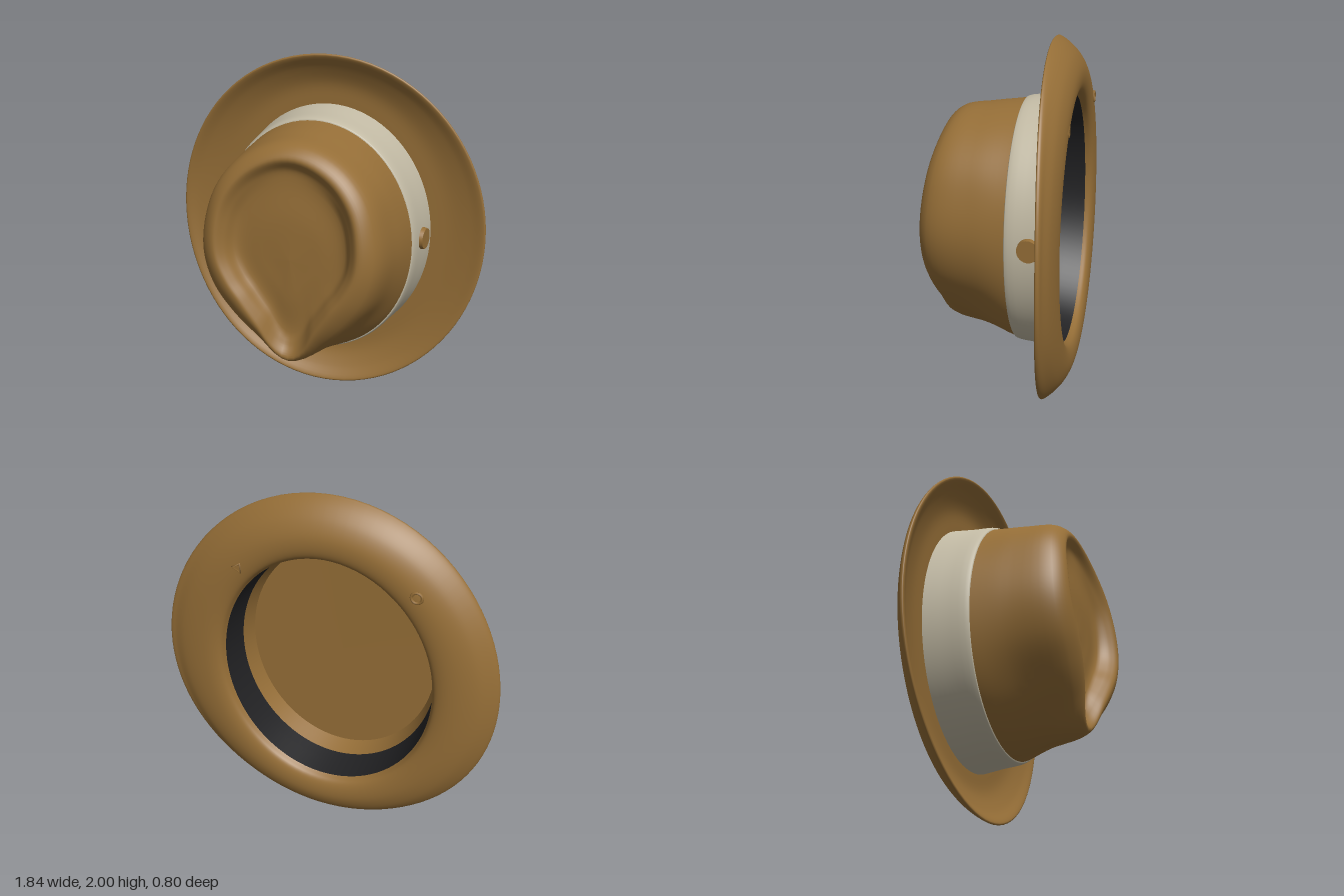
import * as THREE from 'three';

const SEG = 96; // points around each ring

// Smooth radial table: nine values from top (0) to bottom (180 degrees), mirrored
function table(v) {
  const at = (i) => v[i < 0 ? -i : i > 8 ? 16 - i : i];
  return (t) => {
    const a = Math.acos(Math.cos(t)) / Math.PI * 8;
    const i = Math.min(7, Math.floor(a)), f = a - i;
    const [p, q, r, s] = [at(i - 1), at(i), at(i + 1), at(i + 2)];
    return q + 0.5 * f * (r - p + f * (2 * p - 5 * q + 4 * r - s + f * (3 * (q - r) + s - p)));
  };
}

const ellipse = (rx, ry) => (t) => 1 / Math.hypot(Math.sin(t) / rx, Math.cos(t) / ry);
const value = (v, t) => (typeof v === 'function' ? v(t) : v);

// Loft through rings [radius, z], each a number or a function of the angle
function loft(rings, sub, cx = 0, cy = 1) {
  const rows = (rings.length - 1) * sub;
  const pos = [], idx = [];
  const columns = [];
  for (let j = 0; j < SEG; j++) {
    const t = (j / SEG) * Math.PI * 2;
    columns.push(new THREE.CatmullRomCurve3(rings.map(([r, z]) => {
      const k = value(r, t);
      return new THREE.Vector3(cx + k * Math.sin(t), cy + k * Math.cos(t), value(z, t));
    })));
  }
  for (let i = 0; i <= rows; i++) {
    for (let j = 0; j < SEG; j++) {
      const p = columns[j].getPoint(i / rows);
      pos.push(p.x, p.y, p.z);
      if (i < rows) {
        const a = i * SEG + j, b = i * SEG + (j + 1) % SEG;
        idx.push(a, a + SEG, b, b, a + SEG, b + SEG);
      }
    }
  }
  const g = new THREE.BufferGeometry();
  g.setAttribute('position', new THREE.Float32BufferAttribute(pos, 3));
  g.setIndex(idx);
  g.computeVertexNormals();
  return g;
}

export function createModel() {
  const felt = new THREE.MeshStandardMaterial({ color: 0x956e37 });
  felt.name = 'brown felt';
  const ribbon = new THREE.MeshStandardMaterial({ color: 0xc2baa4 });
  ribbon.name = 'pale ribbon';
  const lining = new THREE.MeshStandardMaterial({ color: 0x222224 });
  lining.name = 'dark lining';

  const hat = new THREE.Group();
  hat.name = 'hat';
  const add = (name, geometry, material) => {
    const m = new THREE.Mesh(geometry, material);
    m.name = name;
    hat.add(m);
    return m;
  };

  // Crown: oval at the band, pinched to a teardrop crest with a sunken top
  const middle = table([0.648, 0.63, 0.598, 0.555, 0.537, 0.53, 0.535, 0.578, 0.632]);
  const shoulder = table([0.62, 0.6, 0.562, 0.512, 0.484, 0.462, 0.455, 0.495, 0.603]);
  const crest = table([0.56, 0.535, 0.49, 0.434, 0.395, 0.361, 0.357, 0.418, 0.568]);
  const crestZ = table([0.315, 0.33, 0.36, 0.386, 0.4, 0.406, 0.402, 0.382, 0.342]);
  const crestAt = (k) => (t) => crest(t) * k;
  const below = (d) => (t) => crestZ(t) - d;
  add('crown', loft([
    [ellipse(0.58, 0.688), -0.2],
    [ellipse(0.566, 0.672), -0.09],
    [middle, 0.1],
    [shoulder, below(0.06)],
    [crest, crestZ],
    [crestAt(0.88), below(0.035)],
    [crestAt(0.76), (t) => 0.29 + (crestZ(t) - 0.36) * 0.3],
    [crestAt(0.4), 0.295],
    [0, 0.3],
  ], 6, -0.006, 0.993), felt);

  // Ribbon around the base of the crown
  add('ribbonBand', loft([
    [ellipse(0.61, 0.714), -0.35],
    [ellipse(0.592, 0.697), -0.22],
    [ellipse(0.574, 0.681), -0.094],
    [ellipse(0.563, 0.669), -0.088],
  ], 4, -0.005, 0.993), ribbon);

  // Brim: rolled back, thin upturned edge, dished front
  const edgeZ = (t) => -0.297 + 0.056 * Math.cos(t) ** 2 - 0.018 * Math.sin(t);
  const mix = (a, k) => (t) => a + (edgeZ(t) - a) * k;
  add('brim', loft([
    [ellipse(0.582, 0.69), -0.34],
    [ellipse(0.602, 0.712), -0.372],
    [ellipse(0.65, 0.755), -0.389],
    [ellipse(0.73, 0.825), -0.388],
    [ellipse(0.82, 0.9), mix(-0.385, 0.2)],
    [ellipse(0.88, 0.958), mix(-0.385, 0.54)],
    [ellipse(0.916, 0.993), (t) => edgeZ(t) - 0.02],
    [ellipse(0.92, 1.0), (t) => edgeZ(t) - 0.005],
    [ellipse(0.91, 0.99), edgeZ],
    [ellipse(0.84, 0.92), mix(-0.34, 0.53)],
    [ellipse(0.72, 0.82), mix(-0.345, 0.13)],
    [ellipse(0.59, 0.697), -0.34],
  ], 5), felt);

  // Inside: dark sweatband, felt wall and closing panel
  add('sweatband', loft([
    [ellipse(0.557, 0.665), -0.17],
    [ellipse(0.582, 0.69), -0.34],
  ], 2), lining);
  add('innerWall', loft([
    [ellipse(0.53, 0.635), -0.075],
    [ellipse(0.557, 0.665), -0.17],
  ], 2), felt);
  add('innerPanel', loft([
    [0, -0.07],
    [ellipse(0.53, 0.635), -0.075],
  ], 2), felt);

  // Round button on the side of the ribbon
  const button = add('button', new THREE.CylinderGeometry(0.058, 0.063, 0.026, 32), felt);
  button.position.set(0.594, 1.015, -0.222);
  button.rotation.set(0, -0.12, -Math.PI / 2);

  // Small thread loops on the back of the brim
  for (const [x, y, sides] of [[-0.49, 1.6, 16], [0.45, 1.59, 3]]) {
    const loop = add('threadLoop', new THREE.TorusGeometry(0.028, 0.008, 6, sides), felt);
    loop.position.set(x, y, -0.39);
  }

  return hat;
}
